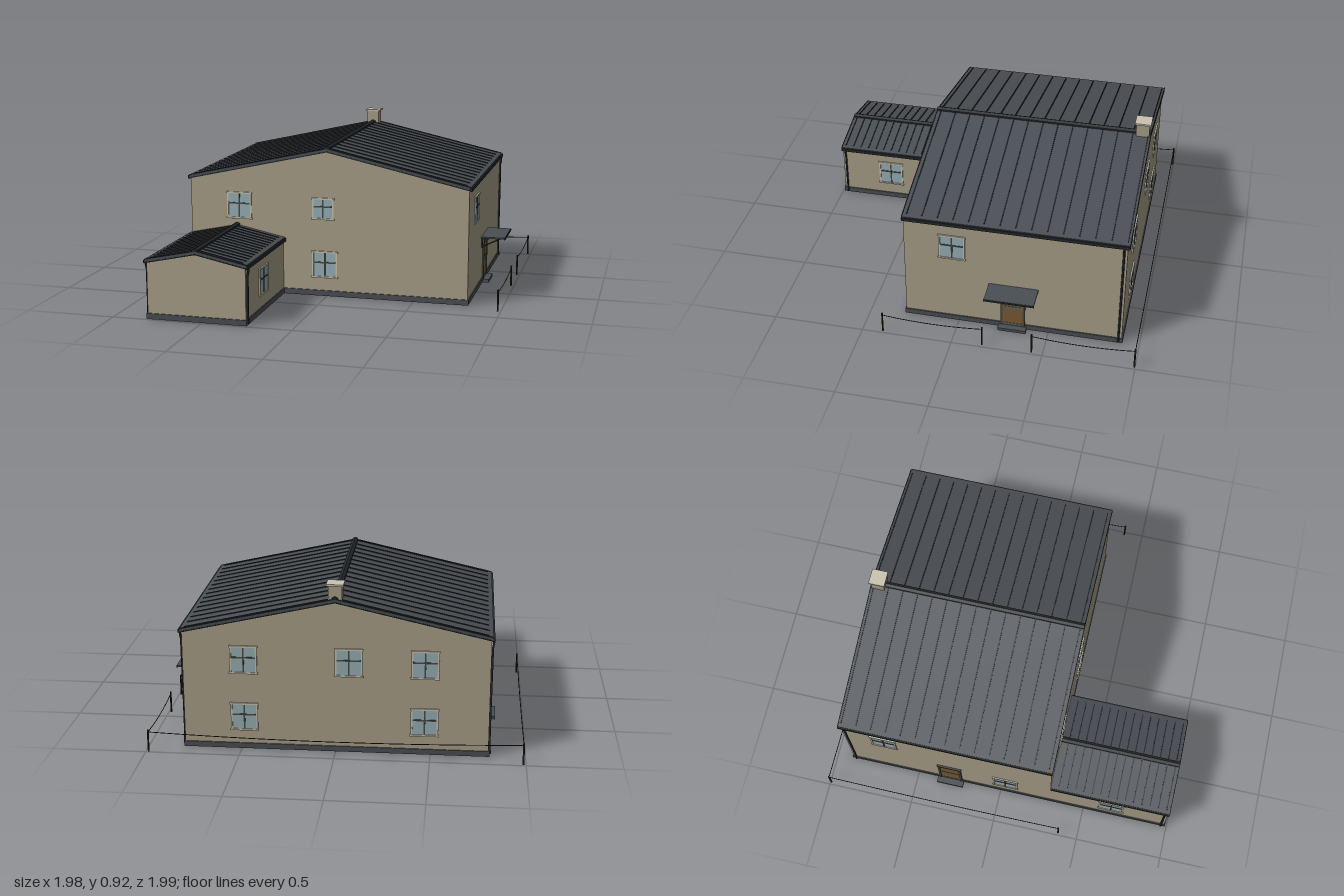
import * as THREE from 'three';

const mat = (name, color) => {
  const m = new THREE.MeshStandardMaterial({ color });
  m.name = name;
  return m;
};

export function createModel() {
  const root = new THREE.Group();
  root.name = 'house';
  const wall = mat('wall render', 0xaba18a);
  const slate = mat('slate metal', 0x4a4f55);
  const trim = mat('dark trim', 0x24282c);
  const glass = mat('window glass', 0x9ab2b9);
  const cream = mat('cream stone', 0xcbc4b0);
  const bars = mat('window bars', 0x474a40);
  const wood = mat('door wood', 0x7d5a33);
  const green = mat('grey green', 0x59685f);
  const brown = mat('floor brown', 0x4d3826);
  const post = mat('fence brown', 0x2e271c);

  const add = (parent, name, geo, material, x = 0, y = 0, z = 0) => {
    const m = new THREE.Mesh(geo, material);
    m.name = name;
    m.position.set(x, y, z);
    parent.add(m);
    return m;
  };
  // box given by its extents
  const box = (parent, name, material, x0, x1, y0, y1, z0, z1) =>
    add(parent, name, new THREE.BoxGeometry(x1 - x0, y1 - y0, z1 - z0), material,
      (x0 + x1) / 2, (y0 + y1) / 2, (z0 + z1) / 2);
  const group = (name, parent = root) => {
    const g = new THREE.Group();
    g.name = name;
    parent.add(g);
    return g;
  };
  const extrude = (pts, depth) => new THREE.ExtrudeGeometry(
    new THREE.Shape(pts.map(p => new THREE.Vector2(...p))), { depth, bevelEnabled: false });
  // bent strip following both roof slopes; top line from eave to ridge
  const chevron = (w, eave, ridge, t, depth) => extrude(
    [[-w, eave - t], [0, ridge - t], [w, eave - t], [w, eave], [0, ridge], [-w, eave]], depth);

  // one gabled wing: walls, plinth, floor, roof, seams, gutters
  function wing(name, cx, w, z0, z1, eave, ridge, floorMat, seamStart, seamStep, seamCount, back) {
    const g = group(name);
    g.position.x = cx;
    const d = z1 - z0;
    add(g, 'walls', extrude([[-w, 0.03], [w, 0.03], [w, eave - 0.015], [0, ridge - 0.015], [-w, eave - 0.015]], d),
      wall, 0, 0, z0);
    box(g, 'plinth', slate, -w - 0.006, w + 0.006, 0.003, 0.032, z0 - (back ? 0.006 : 0), z1 + 0.006);
    box(g, 'floor', floorMat, -w - 0.004, w + 0.004, 0, 0.003, z0, z1 + 0.004);
    const rz0 = z0 - (back ? 0.012 : 0), rz1 = z1 + 0.006;
    const rw = w + 0.008;
    add(g, 'roof', chevron(rw, eave, ridge, 0.018, rz1 - rz0), slate, 0, 0, rz0);
    for (let i = 0; i < seamCount; i++)
      add(g, 'roofSeam', chevron(w - 0.015, eave + 0.009, ridge + 0.005, 0.008, 0.006), trim,
        0, 0, seamStart + i * seamStep - 0.003);
    // edge boards on the gable ends
    for (const z of back ? [rz0 - 0.001, rz1 - 0.003] : [rz1 - 0.003]) {
      add(g, 'vergeTop', chevron(rw, eave + 0.003, ridge + 0.003, 0.006, 0.004), trim, 0, 0, z);
      add(g, 'vergeBottom', chevron(rw, eave - 0.015, ridge - 0.015, 0.006, 0.004), trim, 0, 0, z);
    }
    add(g, 'ridgeCap', chevron(0.016, ridge + 0.006, ridge + 0.014, 0.014, rz1 - rz0), trim, 0, 0, rz0);
    for (const s of [-1, 1])
      box(g, 'gutter', trim, s * rw - 0.008, s * rw + 0.008, eave - 0.022, eave - 0.004, rz0, rz1);
    // downpipes at the outer corners
    const pz = back ? z0 + 0.018 : z1 - 0.018;
    for (const s of [-1, 1]) {
      const path = new THREE.CatmullRomCurve3([[0.012, eave - 0.015], [0.011, eave - 0.04],
        [0.006, eave - 0.06], [0.006, eave - 0.1], [0.006, 0.04], [0.009, 0.012]]
        .map(([o, y]) => new THREE.Vector3(s * (w + o), y, pz)));
      add(g, 'downpipe', new THREE.TubeGeometry(path, 24, 0.006, 6), trim);
    }
  }
  const W = 0.805;
  wing('mainHouse', 0, W, -0.903, 0.3, 0.664, 0.846, brown, -0.9, 0.0845, 15, true);
  wing('annex', -0.53, 0.275, 0.3, 0.985, 0.328, 0.388, green, 0.345, 0.048, 14, false);

  // windows: local +z points out of the wall
  function win(x, y, z, turn, w, h) {
    const g = group('window');
    g.position.set(x, y, z);
    g.rotation.y = turn;
    const a = w / 2, b = h / 2, f = 0.009;
    box(g, 'glass', glass, -a, a, -b, b, -0.002, 0.002);
    for (const s of [-1, 1]) {
      box(g, 'frameSide', cream, s * (a - f / 2) - f / 2, s * (a - f / 2) + f / 2, -b, b, 0, 0.006);
      box(g, 'frameRail', cream, -a - 0.004, a + 0.004, s * (b - f / 2) - f / 2, s * (b - f / 2) + f / 2, 0, 0.007);
    }
    box(g, 'mullion', bars, -0.004, 0.004, -b + f, b - f, 0, 0.005);
    box(g, 'crossBar', bars, -a + f, a - f, 0.008, 0.016, 0, 0.005);
  }
  const R = Math.PI / 2, tall = 0.155;
  win(-0.515, 0.5, 0.301, 0, 0.145, tall);
  win(-0.022, 0.503, 0.301, 0, 0.125, 0.125);
  win(-0.012, 0.182, 0.301, 0, 0.145, tall);
  for (const [x, y] of [[0.483, 0.5], [0.483, 0.182], [-0.07, 0.5], [-0.468, 0.5], [-0.468, 0.182]])
    win(x, y, -0.904, Math.PI, 0.145, tall);
  win(W + 0.001, 0.498, 0.035, R, 0.145, tall);
  win(-0.254, 0.176, 0.682, R, 0.148, tall);
  win(-W - 0.001, 0.5, -0.67, -R, 0.145, tall);
  win(-W - 0.001, 0.182, 0.03, -R, 0.145, tall);
  win(-W - 0.001, 0.176, 0.66, -R, 0.145, tall);

  // side doors with steps
  for (const s of [-1, 1]) {
    const g = group(s > 0 ? 'leftDoor' : 'rightDoor');
    g.position.set(s * W, 0, -0.302);
    g.rotation.y = s * R;
    box(g, 'doorLeaf', wood, -0.06, 0.06, 0.018, 0.255, 0, 0.005);
    for (const t of [-1, 1])
      box(g, 'doorJamb', bars, t * 0.062 - 0.006, t * 0.062 + 0.006, 0.018, 0.255, 0, 0.009);
    box(g, 'doorHead', bars, -0.072, 0.072, 0.25, 0.262, 0, 0.011);
    for (const [y0, y1] of [[0.022, 0.034], [0.13, 0.15], [0.228, 0.242]])
      box(g, 'doorRail', green, -0.05, 0.05, y0, y1, 0, 0.007);
    box(g, 'step', slate, -0.078, 0.078, 0, 0.018, 0, 0.042);
  }

  // canopy over the left door, on two braces
  const canopy = group('canopy');
  box(canopy, 'canopyRoof', slate, W, 0.943, 0.277, 0.286, -0.44, -0.168);
  box(canopy, 'canopyEdge', trim, 0.938, 0.945, 0.274, 0.284, -0.441, -0.167);
  for (const z of [-0.415, -0.19]) {
    const path = new THREE.LineCurve3(new THREE.Vector3(W, 0.222, z), new THREE.Vector3(0.915, 0.276, z));
    add(canopy, 'brace', new THREE.TubeGeometry(path, 1, 0.004, 6), trim);
    box(canopy, 'braceWallBar', trim, W, W + 0.007, 0.215, 0.277, z - 0.003, z + 0.003);
  }

  // chimney at the back of the ridge
  const chimney = group('chimney');
  box(chimney, 'stack', wall, -0.036, 0.036, 0.8, 0.916, -0.907, -0.833);
  box(chimney, 'cap', cream, -0.045, 0.045, 0.914, 0.924, -0.915, -0.825);

  // rope fence
  const fence = group('fence');
  const X = 0.985, Z = -0.995;
  const posts = [[X, 0.387], [X, -0.168], [X, -0.44], [X, Z], [-X, Z], [-X, 0.387]];
  for (const [x, z] of posts)
    add(fence, 'fencePost', new THREE.CylinderGeometry(0.005, 0.005, 0.122, 8), post, x, 0.064, z);
  for (const [i, j, sag] of [[0, 1, 0.03], [2, 3, 0.03], [3, 4, 0.04], [4, 5, 0.04]]) {
    const [a, b] = [posts[i], posts[j]];
    const rope = new THREE.QuadraticBezierCurve3(
      new THREE.Vector3(a[0], 0.112, a[1]),
      new THREE.Vector3((a[0] + b[0]) / 2, 0.112 - sag, (a[1] + b[1]) / 2),
      new THREE.Vector3(b[0], 0.112, b[1]));
    add(fence, 'rope', new THREE.TubeGeometry(rope, 20, 0.0022, 6), post);
  }
  return root;
}
